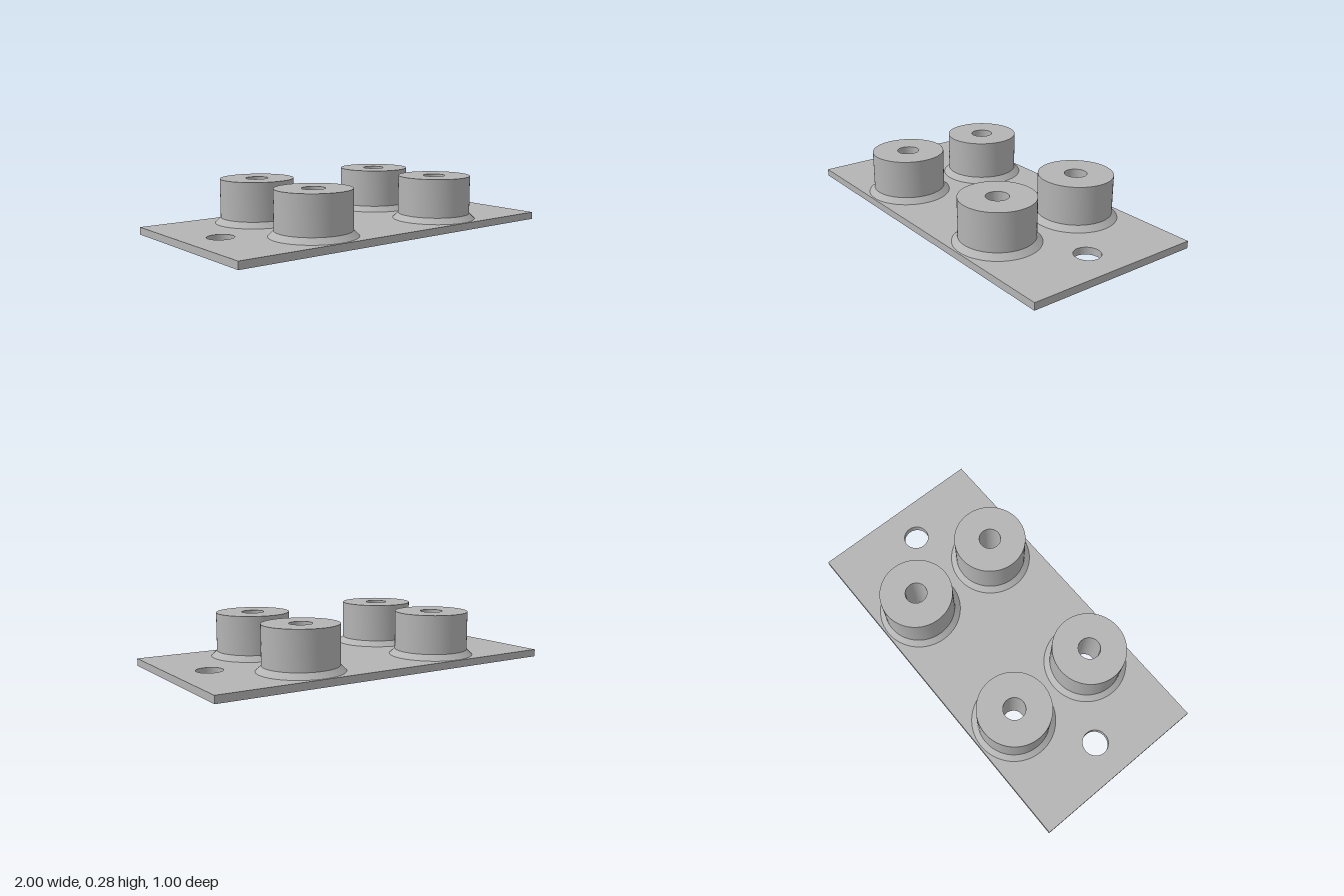
import * as THREE from 'three';
import { toCreasedNormals } from 'three/addons/utils/BufferGeometryUtils.js';

const THICK = 0.04, TOP = 0.28;
const BOSS_X = 0.42, BOSS_Z = 0.26;
const BOSS_R = 0.2, FOOT_R = 0.23, BORE_R = 0.06;
const MOUNT_X = 0.8, MOUNT_R = 0.07;
const SEGMENTS = 64;

export function createModel() {
  const model = new THREE.Group();
  model.name = 'bossPlate';
  const grey = new THREE.MeshStandardMaterial({ color: 0xb4b4b4 });
  grey.name = 'grey';

  const add = (name, geometry) => {
    const mesh = new THREE.Mesh(toCreasedNormals(geometry, 0.5), grey);
    mesh.name = name;
    model.add(mesh);
    return mesh;
  };

  // Base plate outline
  const outline = new THREE.Shape([
    new THREE.Vector2(-1, -0.5), new THREE.Vector2(1, -0.5),
    new THREE.Vector2(1, 0.5), new THREE.Vector2(-1, 0.5),
  ]);
  const drill = (x, y, r) => {
    outline.holes.push(new THREE.Path().absarc(x, y, r, 0, Math.PI * 2, true));
  };

  // Bosses: flared foot, straight wall, flat top and through bore
  const profile = [
    [FOOT_R, THICK], [BOSS_R, THICK + 0.03], [BOSS_R, TOP], [BORE_R, TOP], [BORE_R, THICK],
  ].map(([r, y]) => new THREE.Vector2(r, y));

  for (const sx of [-1, 1]) {
    drill(sx * MOUNT_X, 0, MOUNT_R);
    for (const sz of [-1, 1]) {
      drill(sx * BOSS_X, sz * BOSS_Z, BORE_R);
      const name = (sz > 0 ? 'front' : 'back') + (sx > 0 ? 'Left' : 'Right') + 'Boss';
      add(name, new THREE.LatheGeometry(profile, SEGMENTS))
        .position.set(sx * BOSS_X, 0, sz * BOSS_Z);
    }
  }

  // Base plate with two mounting holes and the four bores
  const plate = new THREE.ExtrudeGeometry(outline, {
    depth: THICK, bevelEnabled: false, curveSegments: SEGMENTS,
  });
  plate.rotateX(-Math.PI / 2);
  add('basePlate', plate);

  return model;
}
